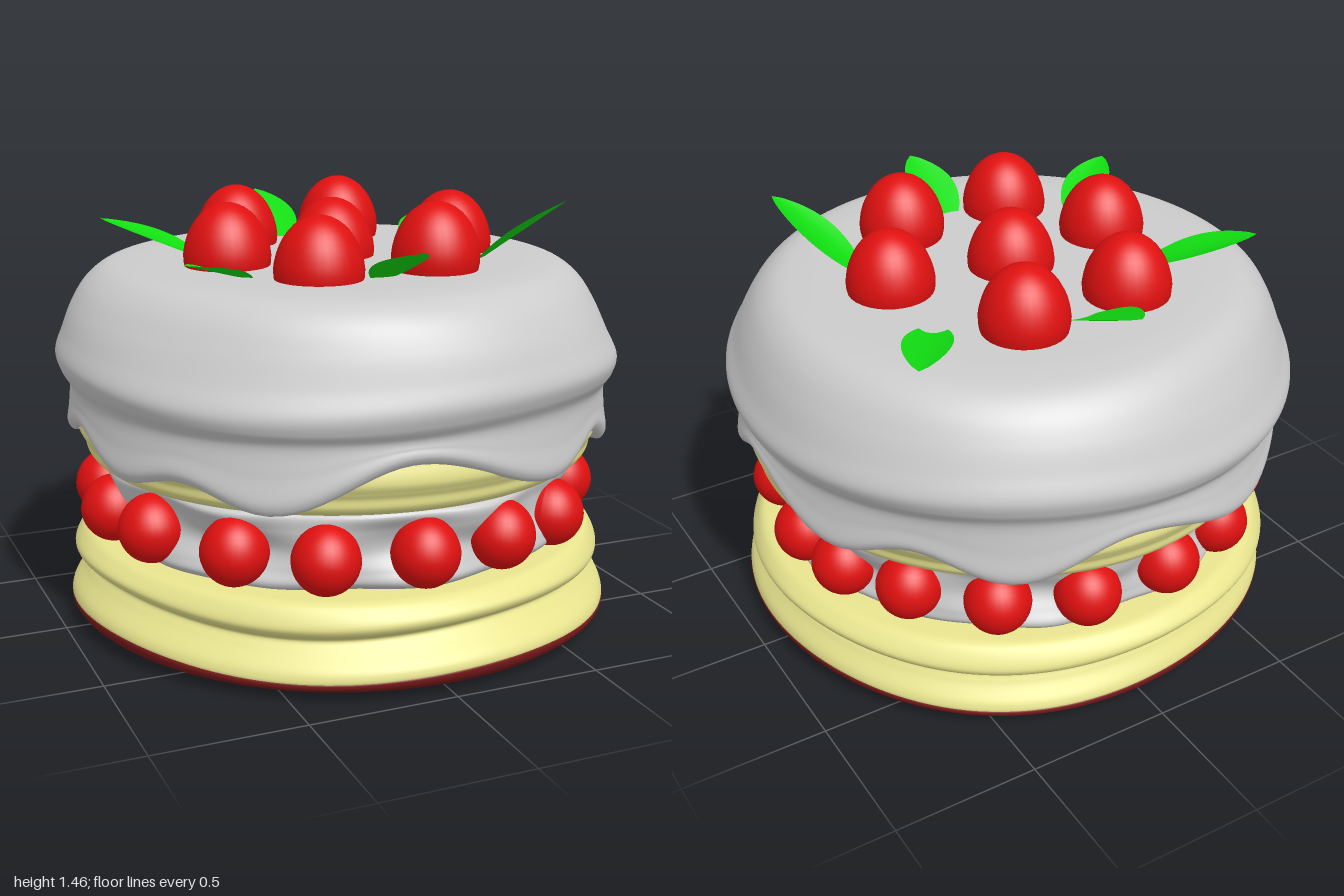
import * as THREE from 'three';
import { mergeVertices } from 'three/addons/utils/BufferGeometryUtils.js';

const mat = (color, side = THREE.FrontSide) => new THREE.MeshStandardMaterial({ color, side });
const cream = mat(0xcccccc);
const sponge = mat(0xe8e48f);
const crust = mat(0x7a1a1a);
const berryRed = mat(0xe01010);
const leafGreen = mat(0x11dd11, THREE.DoubleSide);

// Scalloped hem of the icing: angle in degrees (0 = front, 90 = left) and height
const HEM = [[-35, 0.59], [-6, 0.74], [27, 0.61], [45, 0.69], [62, 0.6], [85, 0.73],
  [112, 0.61], [130, 0.68], [150, 0.6], [175, 0.72], [205, 0.62], [228, 0.69],
  [248, 0.62], [272, 0.71], [292, 0.62], [306, 0.66], [325, 0.59]];

function hemHeight(angle) {
  let d = THREE.MathUtils.radToDeg(angle);
  if (d < -35) d += 360;
  if (d > 325) d -= 360;
  for (let i = 0; i < HEM.length - 1; i++) {
    const [a, ya] = HEM[i], [b, yb] = HEM[i + 1];
    if (d <= b) return ya + (yb - ya) * (1 - Math.cos(Math.PI * (d - a) / (b - a))) / 2;
  }
  return 0.59;
}

// Round layer from a smoothed profile [r, y] (bottom to top), its points moved by rule(p, angle, r)
function layer(name, profile, samples, material, rule) {
  const curve = new THREE.CatmullRomCurve3(
    profile.map(([r, y]) => new THREE.Vector3(r, y, 0)), false, 'centripetal');
  const pts = curve.getPoints(samples).map(p => new THREE.Vector2(Math.max(p.x, 0), p.y));
  let geo = new THREE.LatheGeometry(pts, 144);
  geo.deleteAttribute('uv');
  geo.deleteAttribute('normal');
  geo = mergeVertices(geo, 1e-4);
  const pos = geo.attributes.position;
  const p = new THREE.Vector3();
  for (let i = 0; i < pos.count; i++) {
    p.fromBufferAttribute(pos, i);
    rule(p, Math.atan2(p.x, p.z), Math.hypot(p.x, p.z));
    pos.setXYZ(i, p.x, p.y, p.z);
  }
  geo.computeVertexNormals();
  const mesh = new THREE.Mesh(geo, material);
  mesh.name = name;
  return mesh;
}

function scaleRadius(p, k) {
  p.x *= k;
  p.z *= k;
}

// Soft uneven shape shared by crust and sponge
function spongeRule(p, a, r) {
  const rim = THREE.MathUtils.smoothstep(r, 0.6, 0.9);
  scaleRadius(p, 1 + 0.007 * rim * Math.sin(3 * a + p.y * 9));
  p.y += 0.012 * rim * Math.sin(4 * a + 0.6) * THREE.MathUtils.smoothstep(p.y, 0.01, 0.07)
    * (1 - THREE.MathUtils.smoothstep(p.y, 0.24, 0.3));
  p.z += 0.02 + 0.02 * (1 - THREE.MathUtils.smoothstep(p.y, 0.1, 0.22));
}

// Plump strawberry, slightly narrower towards the top
function berryGeometry(rx, ry, taper) {
  const geo = new THREE.SphereGeometry(1, 32, 20);
  const pos = geo.attributes.position;
  for (let i = 0; i < pos.count; i++) {
    const y = pos.getY(i), k = rx * (1 - taper * Math.max(y, 0) * (1 - y * 0.5));
    pos.setXYZ(i, pos.getX(i) * k, y * ry, pos.getZ(i) * k);
  }
  geo.computeVertexNormals();
  return geo;
}

// Pointed leaf from base to tip, slightly cupped across its width
function leaf(base, tip, width) {
  const along = tip.clone().sub(base);
  const across = new THREE.Vector3(-along.z, 0, along.x).normalize();
  const up = new THREE.Vector3().crossVectors(along, across).normalize();
  if (up.y < 0) up.negate();
  const geo = new THREE.PlaneGeometry(1, 1, 6, 14);
  const pos = geo.attributes.position;
  for (let i = 0; i < pos.count; i++) {
    const s = pos.getX(i) * 2, t = pos.getY(i) + 0.5;
    const half = width / 2 * Math.pow(Math.sin(Math.PI * Math.min(1, 0.08 + 0.92 * t)), 0.75);
    const p = base.clone().addScaledVector(along, t).addScaledVector(across, s * half)
      .addScaledVector(up, 0.015 * s * s * Math.sin(Math.PI * t));
    pos.setXYZ(i, p.x, p.y, p.z);
  }
  geo.computeVertexNormals();
  const mesh = new THREE.Mesh(geo, leafGreen);
  mesh.name = 'leaf';
  return mesh;
}

export function createModel() {
  const cake = new THREE.Group();
  cake.name = 'cake';

  // Dark crust under the lower sponge
  cake.add(layer('crust', [[0, 0], [0.5, 0], [0.8, 0.003], [0.9, 0.02], [0.945, 0.05], [0.95, 0.075], [0.9, 0.09]],
    40, crust, spongeRule));

  // Lower sponge with a pinched waist
  cake.add(layer('lowerSponge', [[0.88, 0.06], [0.948, 0.072], [0.945, 0.1], [0.9, 0.16], [0.885, 0.19], [0.925, 0.22],
    [0.935, 0.245], [0.91, 0.285], [0.885, 0.303], [0.84, 0.308], [0, 0.308]], 90, sponge, spongeRule));

  // Rippled cream filling
  cake.add(layer('creamFilling', [[0, 0.29], [0.77, 0.295], [0.815, 0.33], [0.805, 0.37], [0.785, 0.43],
    [0.805, 0.5], [0.82, 0.55], [0.8, 0.568], [0.75, 0.575], [0, 0.58]], 80, cream, (p, a, r) => {
    const k = THREE.MathUtils.smoothstep(r, 0.6, 0.78);
    scaleRadius(p, 1 + k * (0.012 * Math.sin(7 * a + p.y * 25) + 0.012 * Math.sin(11 * a - p.y * 14)));
    p.z += 0.02;
  }));

  // Upper sponge
  cake.add(layer('upperSponge', [[0, 0.572], [0.8, 0.572], [0.86, 0.574], [0.885, 0.6], [0.89, 0.63], [0.9, 0.65],
    [0.912, 0.68], [0.9, 0.73], [0.87, 0.78], [0, 0.82]], 70, sponge, (p, a, r) => {
    const k = THREE.MathUtils.smoothstep(r, 0.5, 0.9);
    scaleRadius(p, 1 + 0.006 * k * Math.sin(3 * a + 8 * p.y));
    p.x += 0.005;
    p.z += 0.005;
  }));

  // Icing: the lower part of the wall is stretched down to the scalloped hem
  cake.add(layer('icing', [[0.78, 0.8], [0.84, 0.7], [0.89, 0.655], [0.925, 0.65], [0.945, 0.68], [0.937, 0.75], [0.935, 0.82],
    [0.965, 0.87], [0.978, 0.92], [0.948, 1], [0.908, 1.09], [0.855, 1.17], [0.79, 1.217],
    [0.7, 1.233], [0.5, 1.235], [0, 1.235]], 130, cream, (p, a, r) => {
    const low = 1 - THREE.MathUtils.smoothstep(p.y, 0.65, 0.85);
    const mid = THREE.MathUtils.smoothstep(p.y, 0.7, 0.92) * (1 - THREE.MathUtils.smoothstep(p.y, 0.95, 1.22));
    const wall = THREE.MathUtils.smoothstep(r, 0.6, 0.9);
    const hem = hemHeight(a);
    scaleRadius(p, 1 + wall * (0.008 * mid * Math.sin(4 * a + 6 * p.y)
      + 0.008 * Math.sin(3 * a + 5 * p.y + 1) + low * 0.15 * (0.65 - hem)));
    p.y += low * (hem - 0.65) + 0.02 * mid * wall * Math.sin(3 * a);
  }));

  // Ring of strawberries around the filling
  const ring = new THREE.Group();
  ring.name = 'sideStrawberries';
  const sideBerry = berryGeometry(0.112, 0.115, 0.08);
  [-2, 19, 42, 67, 91, 107, 126, 147, 168, 190, 212, 233, 251, 269, 290, 314.5, 335.5].forEach((deg, i) => {
    const a = THREE.MathUtils.degToRad(deg);
    const berry = new THREE.Mesh(sideBerry, berryRed);
    berry.name = 'sideStrawberry';
    berry.position.set(0.81 * Math.sin(a) - 0.01, 0.427 + 0.008 * Math.sin(i * 2.3), 0.81 * Math.cos(a) + 0.025);
    berry.rotation.set(0.1 * Math.sin(i * 3), a, 0.12 * Math.sin(i * 5));
    ring.add(berry);
  });
  cake.add(ring);

  // Strawberries on top
  const topBerry = berryGeometry(0.148, 0.175, 0.1);
  [[-0.23, -0.37, 1.27], [0.18, -0.4, 1.28], [-0.41, 0.05, 1.27], [-0.01, 0, 1.26],
    [0.42, 0.05, 1.27], [-0.22, 0.4, 1.265], [0.2, 0.39, 1.285]].forEach(([x, z, y]) => {
    const berry = new THREE.Mesh(topBerry, berryRed);
    berry.name = 'topStrawberry';
    berry.position.set(x, y, z);
    cake.add(berry);
  });

  // Leaves: base x, z, tip x, y, z, width
  [[-0.02, -0.42, -0.02, 1.375, -0.75, 0.175], [0.41, -0.23, 0.63, 1.285, -0.54, 0.16],
    [-0.42, -0.21, -0.72, 1.345, -0.42, 0.16], [-0.42, 0.26, -0.68, 1.315, 0.45, 0.16],
    [0.44, 0.24, 0.64, 1.45, 0.48, 0.16], [-0.02, 0.44, -0.02, 1.355, 0.74, 0.175]].forEach(([bx, bz, x, y, z, w]) => {
    cake.add(leaf(new THREE.Vector3(bx, 1.225, bz), new THREE.Vector3(x, y, z), w));
  });

  return cake;
}
